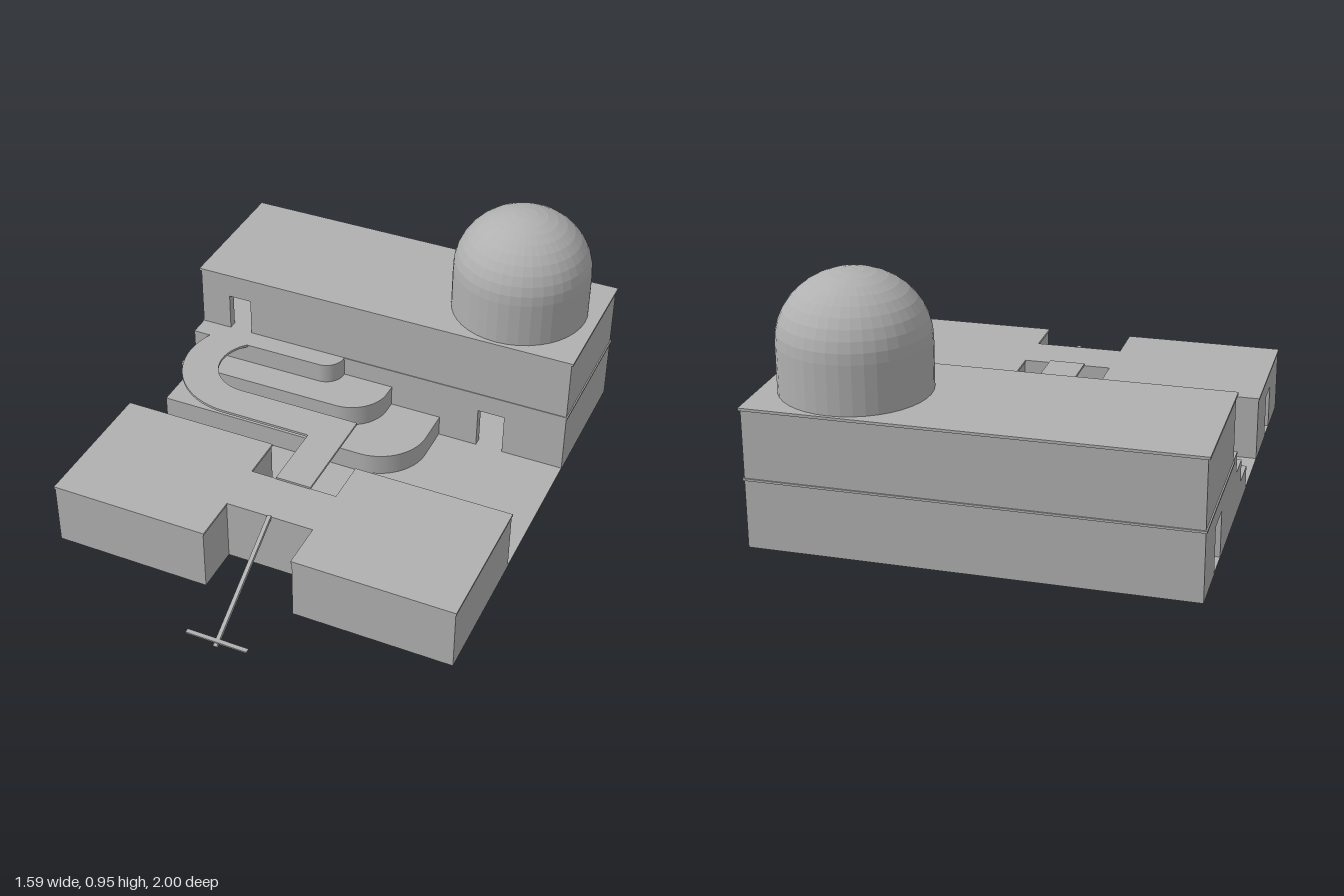
import * as THREE from 'three';

const stone = new THREE.MeshStandardMaterial({ color: 0xb0b0b0, flatShading: true });
stone.name = 'pale grey';

export function createModel() {
  const model = new THREE.Group();
  model.name = 'domedBuilding';

  const add = (name, geometry, parent = model) => {
    const mesh = new THREE.Mesh(geometry, stone);
    mesh.name = name;
    parent.add(mesh);
    return mesh;
  };

  // Plan shapes are drawn as (x, -z) and raised from y0 to y1
  const slab = (name, shape, y0, y1, parent) => {
    const g = new THREE.ExtrudeGeometry(shape, { depth: y1 - y0, bevelEnabled: false, curveSegments: 16 });
    g.rotateX(-Math.PI / 2);
    g.translate(0, y0, 0);
    return add(name, g, parent);
  };
  const plan = (pts) => new THREE.Shape(pts.map(([x, z]) => new THREE.Vector2(x, -z)));
  const rect = (x, z0, z1) => [[-x, z1], [x, z1], [x, z0], [-x, z0]];

  // Hollow storey: walls follow the plan; doors[i] = [start, end, height] along wall i
  const WALL = 0.035;
  const storey = (name, pts, y0, y1, doors = {}) => {
    const group = new THREE.Group();
    group.name = name;
    model.add(group);
    pts.forEach(([x, z], i) => {
      const [nx, nz] = pts[(i + 1) % pts.length];
      const length = Math.hypot(nx - x, nz - z);
      const outline = [[0, 0]];
      if (doors[i]) {
        const [a, b, h] = doors[i];
        outline.push([a, 0], [a, h], [b, h], [b, 0]);
      }
      outline.push([length, 0], [length, y1 - y0], [0, y1 - y0]);
      const shape = new THREE.Shape(outline.map(([u, v]) => new THREE.Vector2(u, v)));
      const g = new THREE.ExtrudeGeometry(shape, { depth: WALL, bevelEnabled: false });
      g.translate(0, 0, -WALL);
      const wall = add('wall', g, group);
      wall.position.set(x, y0, z);
      wall.rotation.y = -Math.atan2(nz - z, nx - x);
    });
  };

  // Plans of the rear block and the notched front block
  const rear = rect(0.79, -0.995, -0.435);
  const notched = (e) => [
    [-0.79 - e, 0.732 + e], [-0.175 + e, 0.732 + e], [-0.175 + e, 0.55 + e], [0.175 - e, 0.55 + e],
    [0.175 - e, 0.732 + e], [0.79 + e, 0.732 + e], [0.79 + e, 0.18 - e], [0.175 - e, 0.18 - e],
    [0.175 - e, 0.355 - e], [-0.175 + e, 0.355 - e], [-0.175 + e, 0.18 - e], [-0.79 - e, 0.18 - e],
  ];

  // Ground: rear floor, courtyard and front floor in one sheet
  slab('groundFloor', plan([
    ...notched(0).slice(0, 6), [0.79, -0.995], [-0.79, -0.995],
  ]), 0.01, 0.016);

  // Rear block, two storeys
  storey('rearGroundStorey', rear, 0.012, 0.262, { 0: [1.22, 1.33, 0.175], 3: [0.205, 0.325, 0.175] });
  slab('upperFloor', plan(rect(0.795, -1, -0.432)), 0.262, 0.27);
  storey('rearUpperStorey', rear, 0.27, 0.517, { 0: [0.125, 0.22, 0.155] });
  slab('rearRoof', plan(rect(0.797, -1, -0.432)), 0.517, 0.527);

  // Front block
  storey('frontStorey', notched(0), 0.012, 0.255, { 11: [0.23, 0.335, 0.17] });
  slab('frontRoof', plan(notched(0.003)), 0.255, 0.264);

  // Dome on its drum
  const profile = [new THREE.Vector2(0.27, 0.52)];
  for (let i = 0; i <= 10; i++) {
    const a = (i / 10) * Math.PI / 2;
    profile.push(new THREE.Vector2(i === 10 ? 0 : 0.27 * Math.cos(a), 0.707 + 0.247 * Math.sin(a)));
  }
  add('dome', new THREE.LatheGeometry(profile, 40)).position.set(0.48, 0, -0.718);

  // Stepped terraces with one rounded corner: [right edge, front edge, radius, top]
  [[0.27, -0.09, 0.2, 0.102], [0.06, -0.23, 0.155, 0.188], [-0.15, -0.35, 0.075, 0.27]].forEach(([x, z, r, top]) => {
    const s = new THREE.Shape();
    s.moveTo(-0.79, 0.436);
    s.lineTo(-0.79, -z);
    s.lineTo(x - r, -z);
    s.absarc(x - r, -z + r, r, -Math.PI / 2, 0, false);
    s.lineTo(x, 0.436);
    slab('terrace', s, 0.014, top);
  });

  // Curved walkway from the top terrace to the front roof
  const cx = -0.43, cy = 0.23, outer = 0.31, inner = 0.165, rise = 0.12;
  const start = (r) => Math.PI - Math.asin(rise / r);
  const path = new THREE.Shape();
  path.absarc(cx, cy, outer, start(outer), Math.PI * 1.5, false);
  path.lineTo(-0.07, cy - outer);
  path.lineTo(-0.07, -0.355);
  path.lineTo(0.07, -0.355);
  path.lineTo(0.07, cy - inner);
  path.lineTo(cx, cy - inner);
  path.absarc(cx, cy, inner, Math.PI * 1.5, start(inner), true);
  slab('walkway', path, 0.262, 0.272);

  // Sloping beam with a crossbar at its foot
  const foot = new THREE.Vector2(0.993, 0.009), head = new THREE.Vector2(0.55, 0.264);
  const run = head.clone().sub(foot);
  const beam = add('slopingBeam', new THREE.BoxGeometry(0.015, 0.015, run.length()));
  beam.position.set(0, (foot.y + head.y) / 2, (foot.x + head.x) / 2);
  beam.rotation.x = Math.atan2(run.y, -run.x);
  add('crossbar', new THREE.BoxGeometry(0.24, 0.006, 0.018)).position.set(0, 0.027, 0.98);

  return model;
}
